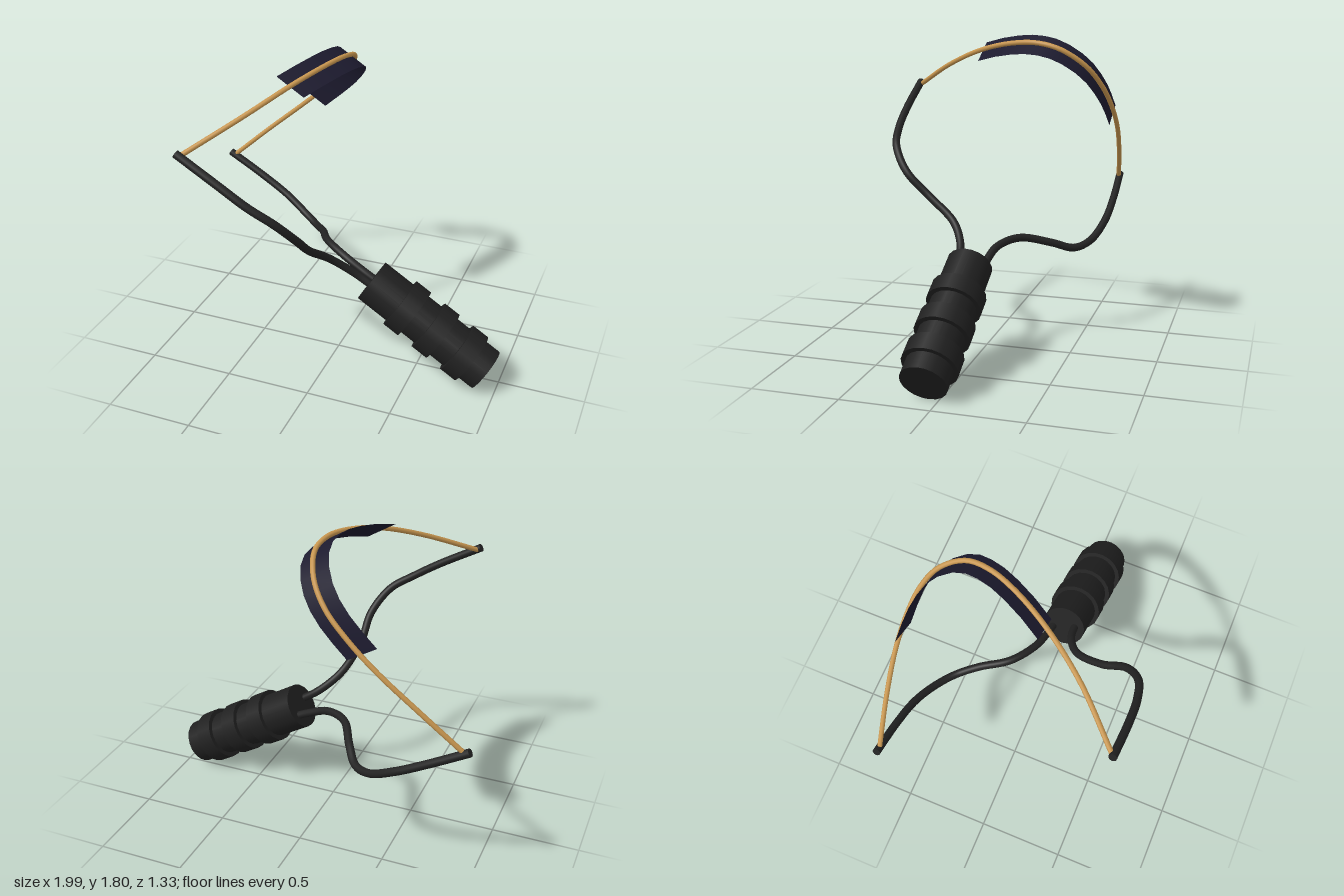
import * as THREE from 'three';

const frameMat = new THREE.MeshStandardMaterial({ color: 0x222222 });
frameMat.name = 'black frame';
const gripMat = new THREE.MeshStandardMaterial({ color: 0x1f1f1f });
gripMat.name = 'black rubber grip';
const bandMat = new THREE.MeshStandardMaterial({ color: 0xc8964f });
bandMat.name = 'tan rubber';
const pouchMat = new THREE.MeshStandardMaterial({ color: 0x1c1a2e, side: THREE.DoubleSide });
pouchMat.name = 'navy leather';

// Grip axis, which is also the width direction of the pouch
const GRIP_TOP = new THREE.Vector3(0.219, 0.551, 0.036);
const GRIP_END = new THREE.Vector3(0.93, 0.12, 0.06);
const AXIS = GRIP_END.clone().sub(GRIP_TOP).normalize();

const curveOf = (pts) => new THREE.CatmullRomCurve3(pts.map((p) => new THREE.Vector3(...p)));

function add(parent, name, geometry, material) {
  const mesh = new THREE.Mesh(geometry, material);
  mesh.name = name;
  parent.add(mesh);
  return mesh;
}

// Round grip with three raised rings, built along +y then tilted
function makeGrip() {
  const grip = new THREE.Group();
  grip.name = 'grip';
  const length = GRIP_TOP.distanceTo(GRIP_END);
  const step = length / 8;
  add(grip, 'gripCore', new THREE.CylinderGeometry(0.131, 0.131, length, 20), gripMat).position.y = length / 2;
  for (const slot of [2.5, 4.5, 6.5]) {
    add(grip, 'gripRing', new THREE.CylinderGeometry(0.157, 0.157, step, 20), gripMat).position.y = slot * step;
  }
  grip.position.copy(GRIP_TOP);
  grip.quaternion.setFromUnitVectors(new THREE.Vector3(0, 1, 0), AXIS);
  return grip;
}

// Bent rod with a closed tip
function makeArm(name, pts) {
  const arm = new THREE.Group();
  arm.name = name;
  const curve = curveOf(pts);
  add(arm, 'armRod', new THREE.TubeGeometry(curve, 64, 0.023, 12), frameMat);
  const tip = add(arm, 'armTip', new THREE.CircleGeometry(0.023, 12), frameMat);
  tip.position.copy(curve.getPoint(0));
  tip.lookAt(tip.position.clone().sub(curve.getTangent(0)));
  return arm;
}

// Ribbon that follows the inside of the band between two parameters
function makePouch(curve, t0, t1) {
  const segments = 12, half = 0.093, inset = 0.014;
  const positions = [], index = [];
  const middle = new THREE.Vector3(-0.4, 1.1, -0.1);
  for (let i = 0; i <= segments; i++) {
    const t = t0 + (t1 - t0) * i / segments;
    const p = curve.getPoint(t);
    const inward = curve.getTangent(t).cross(AXIS).normalize();
    if (inward.dot(middle.clone().sub(p)) < 0) inward.negate();
    p.addScaledVector(inward, inset);
    for (const s of [-half, half]) positions.push(...p.clone().addScaledVector(AXIS, s).toArray());
    if (i < segments) {
      const a = i * 2;
      index.push(a, a + 1, a + 2, a + 1, a + 3, a + 2);
    }
  }
  const geometry = new THREE.BufferGeometry();
  geometry.setAttribute('position', new THREE.Float32BufferAttribute(positions, 3));
  geometry.setIndex(index);
  geometry.computeVertexNormals();
  return geometry;
}

export function createModel() {
  const model = new THREE.Group();
  model.name = 'slingshot';
  model.add(makeGrip());

  // Fork arms, from tip to grip
  model.add(makeArm('frontArm', [
    [-0.66, 1.475, 0.635], [-0.42, 1.337, 0.642], [-0.26, 1.235, 0.635], [-0.126, 1.144, 0.6],
    [-0.04, 1.01, 0.505], [-0.03, 0.877, 0.365], [0.024, 0.743, 0.195], [0.14, 0.63, 0.115],
    [0.25, 0.556, 0.1],
  ]));
  model.add(makeArm('backArm', [
    [-0.985, 0.887, -0.6], [-0.77, 0.765, -0.597], [-0.58, 0.658, -0.577], [-0.42, 0.572, -0.52],
    [-0.313, 0.551, -0.443], [-0.233, 0.594, -0.33], [-0.136, 0.636, -0.165], [0.008, 0.615, -0.067],
    [0.14, 0.556, -0.036], [0.25, 0.5, -0.025],
  ]));

  // Elastic band, from front tip over the pouch to back tip
  const bandCurve = curveOf([
    [-0.64, 1.462, 0.625], [-0.396, 1.615, 0.35], [-0.235, 1.716, 0.107], [-0.128, 1.766, -0.107],
    [-0.075, 1.774, -0.267], [-0.064, 1.743, -0.4], [-0.118, 1.65, -0.535], [-0.21, 1.535, -0.61],
    [-0.34, 1.41, -0.645], [-0.5, 1.268, -0.655], [-0.717, 1.083, -0.635], [-0.95, 0.878, -0.598],
  ]);
  add(model, 'elasticBand', new THREE.TubeGeometry(bandCurve, 80, 0.014, 10), bandMat);
  add(model, 'pouch', makePouch(bandCurve, 2 / 11, 8.5 / 11), pouchMat);
  return model;
}
